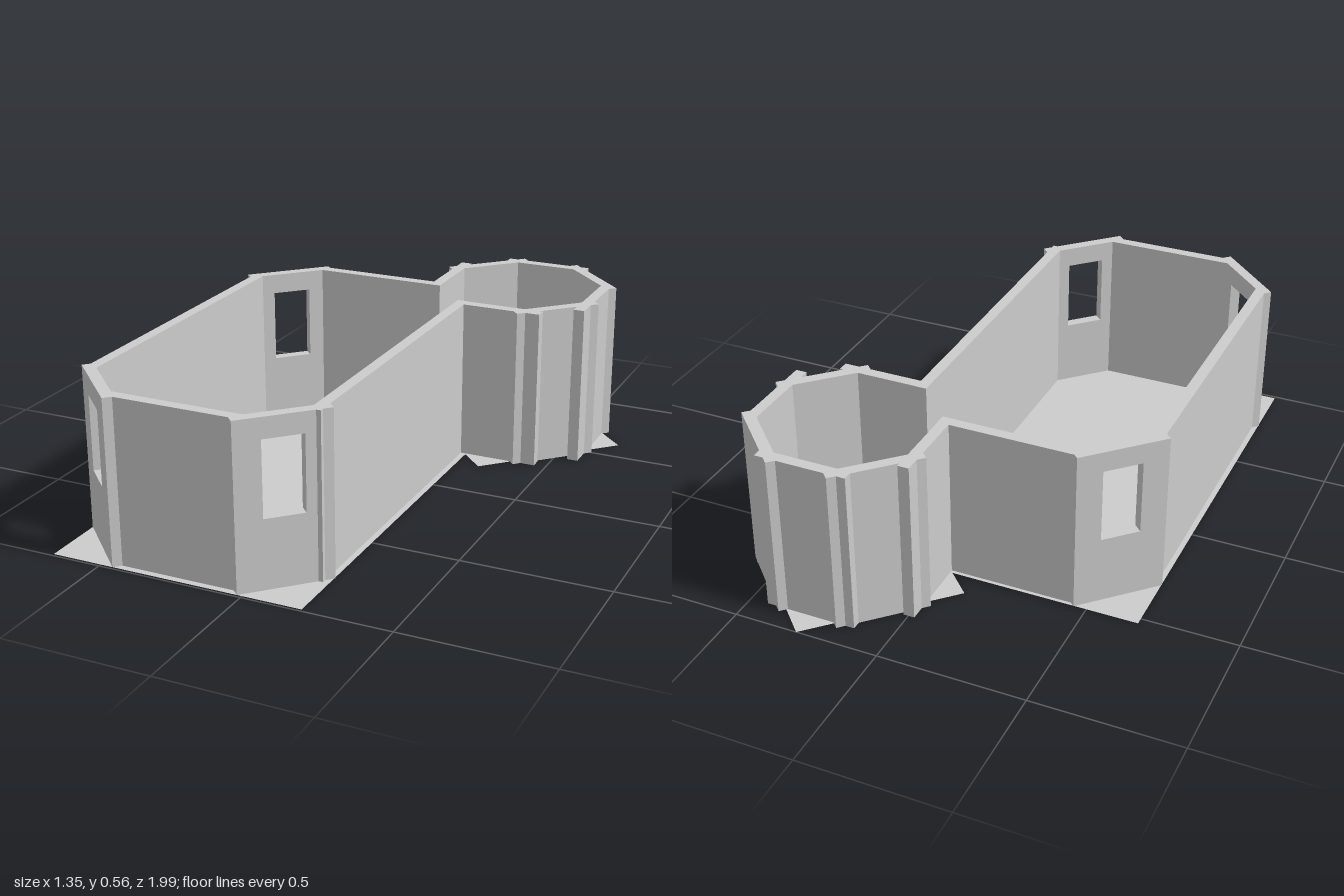
import * as THREE from 'three';

const HEIGHT = 0.56, THICK = 0.038;
const WINDOW = { width: 0.135, bottom: 0.235, top: 0.49 };

export function createModel() {
  const model = new THREE.Group();
  model.name = 'twoRoomBuilding';
  const wallMat = new THREE.MeshStandardMaterial({ color: 0xcccccc, flatShading: true });
  const floorMat = new THREE.MeshStandardMaterial({ color: 0xcccccc, side: THREE.DoubleSide });

  // Upright wall panel: (x, z) is the middle of its outer face, angle turns the outside from +z
  function wall(name, x, z, angle, length, hasWindow = false) {
    const h = length / 2;
    const shape = new THREE.Shape([[-h, 0], [h, 0], [h, HEIGHT], [-h, HEIGHT]]
      .map(p => new THREE.Vector2(...p)));
    if (hasWindow) {
      const w = WINDOW.width / 2;
      shape.holes.push(new THREE.Path([[-w, WINDOW.bottom], [-w, WINDOW.top], [w, WINDOW.top], [w, WINDOW.bottom]]
        .map(p => new THREE.Vector2(...p))));
    }
    const geo = new THREE.ExtrudeGeometry(shape, { depth: THICK, bevelEnabled: false });
    geo.translate(0, 0, -THICK);
    const mesh = new THREE.Mesh(geo, wallMat);
    mesh.name = name;
    mesh.position.set(x, 0, z);
    mesh.rotation.y = angle;
    model.add(mesh);
  }

  // Straight walls given by their two ends
  const wallAlongX = (name, z, x0, x1, side) =>
    wall(name, (x0 + x1) / 2, z, side > 0 ? 0 : Math.PI, x1 - x0);
  const wallAlongZ = (name, x, z0, z1, side) =>
    wall(name, x, (z0 + z1) / 2, side * Math.PI / 2, z1 - z0);

  // Flat floor sheet
  function floor(name, x, z, w, d, angle = 0) {
    const mesh = new THREE.Mesh(new THREE.PlaneGeometry(w, d).rotateX(-Math.PI / 2), floorMat);
    mesh.name = name;
    mesh.position.set(x, 0, z);
    mesh.rotation.y = angle;
    model.add(mesh);
  }

  const Q = Math.PI / 4, PANEL = 0.312;

  // Main room: floor, four long walls, three windowed corner walls
  floor('mainFloor', -0.2375, 0.2325, 0.875, 1.515);
  wallAlongX('mainFrontWall', 0.968, -0.47, -0.005, 1);
  wallAlongX('mainBackWall', -0.513, -0.47, 0.018, -1);
  wallAlongZ('mainRightWall', -0.657, -0.32, 0.785, -1);
  wallAlongZ('mainLeftWall', 0.18, -0.343, 0.808, 1);
  wall('frontRightWindowWall', -0.567, 0.88, -Q, PANEL, true);
  wall('frontLeftWindowWall', 0.093, 0.88, Q, PANEL, true);
  wall('backRightWindowWall', -0.567, -0.417, -3 * Q, PANEL, true);

  // Octagonal room: diamond floor, four straight walls, three diagonal walls
  const cx = 0.282, cz = -0.607, apothem = 0.303;
  floor('octagonFloor', cx, cz, 0.556, 0.556, Q);
  wallAlongX('octagonBackWall', cz - apothem, cx - PANEL / 2, cx + PANEL / 2, -1);
  wallAlongX('octagonFrontWall', cz + apothem, 0.142, 0.458, 1);
  wallAlongZ('octagonLeftWall', cx + apothem, -0.735, -0.407, 1);
  wallAlongZ('octagonRightWall', cx - apothem, -0.785, -0.475, -1);
  for (const [name, a] of [['octagonFrontLeftWall', Q], ['octagonBackLeftWall', 3 * Q], ['octagonBackRightWall', -3 * Q]])
    wall(name, cx + apothem * Math.sin(a), cz + apothem * Math.cos(a), a, PANEL);

  return model;
}
